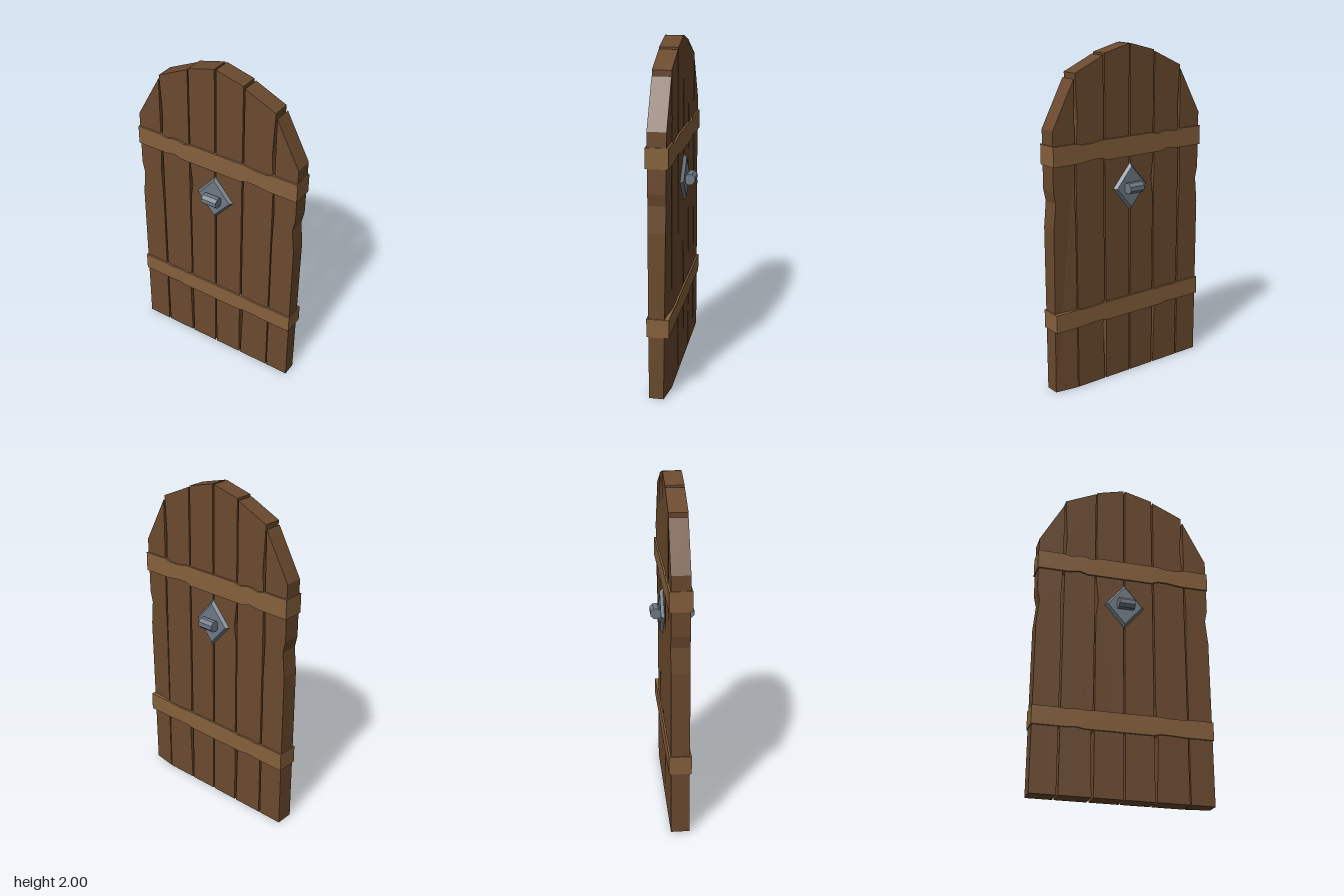
import * as THREE from 'three';

const material = (color) => new THREE.MeshStandardMaterial({ color, flatShading: true });

// Closed outline extruded to a depth centred on z = 0
function slab(points, depth, mat, name) {
  const shape = new THREE.Shape(points.map(([x, y]) => new THREE.Vector2(x, y)));
  const geometry = new THREE.ExtrudeGeometry(shape, { depth, bevelEnabled: false });
  geometry.translate(0, 0, -depth / 2);
  const mesh = new THREE.Mesh(geometry, mat);
  mesh.name = name;
  return mesh;
}

export function createModel() {
  const door = new THREE.Group();
  door.name = 'door';
  const wood = material(0x6b4a2e);
  const bandWood = material(0x85603c);
  const iron = material(0x6f7a85);

  // Planks: left and right edges, each listed from bottom to top
  const planks = [
    [[[-0.53, 0], [-0.53, 1.0], [-0.515, 1.15], [-0.53, 1.22], [-0.53, 1.56]],
      [[-0.38, 0], [-0.38, 0.95], [-0.388, 1.2], [-0.38, 1.4], [-0.38, 1.83]]],
    [[[-0.37, 0], [-0.37, 1.45], [-0.36, 1.6], [-0.375, 1.855]],
      [[-0.186, 0], [-0.195, 0.4], [-0.182, 0.55], [-0.182, 1.945]]],
    [[[-0.174, 0], [-0.174, 1.1], [-0.16, 1.2], [-0.174, 1.33], [-0.174, 1.955]],
      [[-0.005, 0], [-0.005, 2]]],
    [[[0.005, 0], [0.005, 2]],
      [[0.178, 0], [0.176, 0.4], [0.178, 0.55], [0.178, 1.955]]],
    [[[0.188, 0], [0.2, 0.35], [0.188, 0.56], [0.188, 1.945]],
      [[0.38, 0], [0.38, 1.4], [0.366, 1.6], [0.378, 1.86]]],
    [[[0.387, 0], [0.387, 1.0], [0.392, 1.2], [0.387, 1.4], [0.387, 1.83]],
      [[0.53, 0], [0.53, 1.0], [0.515, 1.15], [0.53, 1.22], [0.53, 1.56]]],
  ];
  planks.forEach(([left, right], i) => {
    const plank = slab([...left, ...[...right].reverse()], 0.107, wood, `plank${i + 1}`);
    door.add(plank);
    if (i < 5) return;
    // The last plank thins towards its lower outer back edge
    const p = plank.geometry.attributes.position;
    for (let k = 0; k < p.count; k++) {
      if (p.getZ(k) < 0 && p.getX(k) > 0.45) {
        p.setZ(k, p.getZ(k) + 0.022 * Math.max(0, 1 - p.getY(k) / 1.56));
      }
    }
    plank.geometry.computeVertexNormals();
  });

  // Cross bands wrapping both faces, with worn edges
  [[0.385, 0.495, 'lowerBand', 0], [1.36, 1.475, 'upperBand', 1]].forEach(([y0, y1, name, wear]) => {
    const d = 0.005 + 0.006 * wear;
    door.add(slab([
      [-0.535, y0], [-0.34, y0], [-0.28, y0 + d], [-0.23, y0 - 0.004],
      [0.17, y0 - 0.004], [0.21, y0 + d], [0.27, y0 + d], [0.36, y0], [0.535, y0],
      [0.535, y1], [0.38, y1], [0.34, y1 - d], [0.27, y1 - d], [0.21, y1],
      [-0.16, y1], [-0.21, y1 - d], [-0.25, y1], [-0.29, y1], [-0.33, y1 - d], [-0.38, y1], [-0.535, y1],
    ], 0.128, bandWood, name));
  });

  // Diamond plate and octagonal grip on each face
  for (const side of [1, -1]) {
    const handle = new THREE.Group();
    handle.name = side > 0 ? 'frontHandle' : 'backHandle';

    const plateGeometry = new THREE.CylinderGeometry(0.84, 1, 0.022, 4);
    plateGeometry.rotateX(Math.PI / 2);
    plateGeometry.scale(0.125, 0.145, 1);
    const plate = new THREE.Mesh(plateGeometry, iron);
    plate.name = 'handlePlate';
    plate.position.z = 0.061;

    const gripGeometry = new THREE.CylinderGeometry(0.034, 0.034, 0.098, 8);
    gripGeometry.rotateX(0);
    gripGeometry.rotateY(Math.PI / 8);
    gripGeometry.rotateZ(Math.PI / 2);
    const grip = new THREE.Mesh(gripGeometry, iron);
    grip.name = 'handleGrip';
    grip.position.z = 0.097;

    handle.add(plate, grip);
    handle.position.y = 1.175;
    if (side < 0) handle.rotation.y = Math.PI;
    door.add(handle);
  }

  // The door stands slightly ajar
  door.rotation.y = 0.096;
  const model = new THREE.Group();
  model.name = 'archedDoor';
  model.add(door);
  return model;
}
